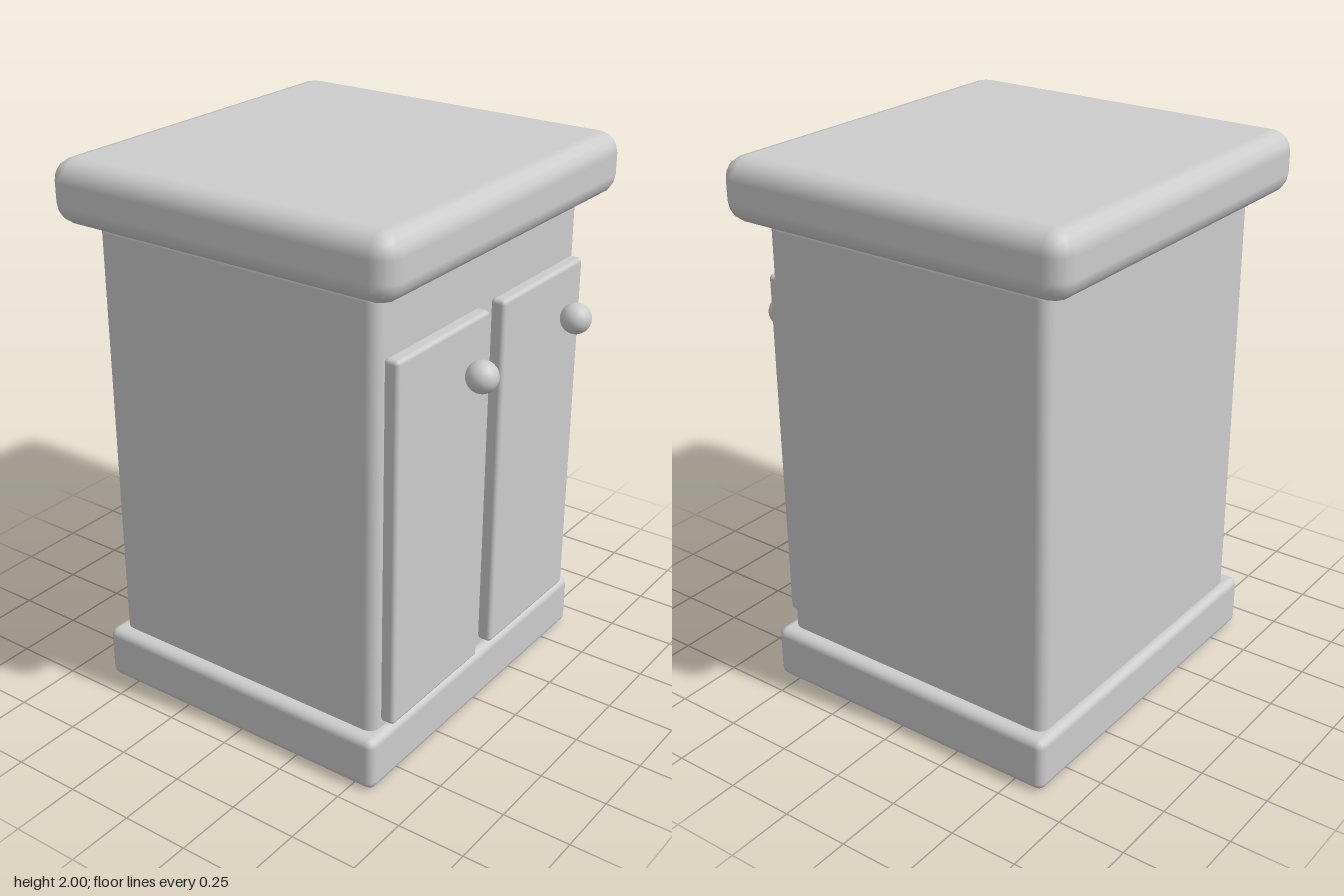
import * as THREE from 'three';
import { RoundedBoxGeometry } from 'three/addons/geometries/RoundedBoxGeometry.js';

export function createModel() {
  const group = new THREE.Group();
  group.name = 'cabinet';
  const grey = new THREE.MeshStandardMaterial({ color: 0xcccccc });
  grey.name = 'plain grey';

  // Rounded block given by its extents on each axis
  function block(name, [x0, x1], [y0, y1], [z0, z1], radius) {
    const geometry = new RoundedBoxGeometry(x1 - x0, y1 - y0, z1 - z0, 2, radius);
    const mesh = new THREE.Mesh(geometry, grey);
    mesh.name = name;
    mesh.position.set((x0 + x1) / 2, (y0 + y1) / 2, (z0 + z1) / 2);
    group.add(mesh);
  }

  // Carcass
  block('base', [-0.67, 0.67], [0, 0.2], [-0.62, 0.583], 0.03);
  block('body', [-0.617, 0.617], [0.15, 1.785], [-0.587, 0.55], 0.04);
  block('worktop', [-0.718, 0.718], [1.775, 2], [-0.707, 0.663], 0.075);

  // Doors, each with a round knob
  const doors = [
    { side: 'right', x: [-0.577, -0.048], knobX: -0.165 },
    { side: 'left', x: [0.041, 0.572], knobX: 0.456 },
  ];
  for (const { side, x, knobX } of doors) {
    block(side + 'Door', x, [0.23, 1.563], [0.548, 0.604], 0.015);
    const knob = new THREE.Mesh(new THREE.SphereGeometry(0.056, 24, 16), grey);
    knob.name = side + 'Knob';
    knob.position.set(knobX, 1.38, 0.652);
    group.add(knob);
  }
  return group;
}
